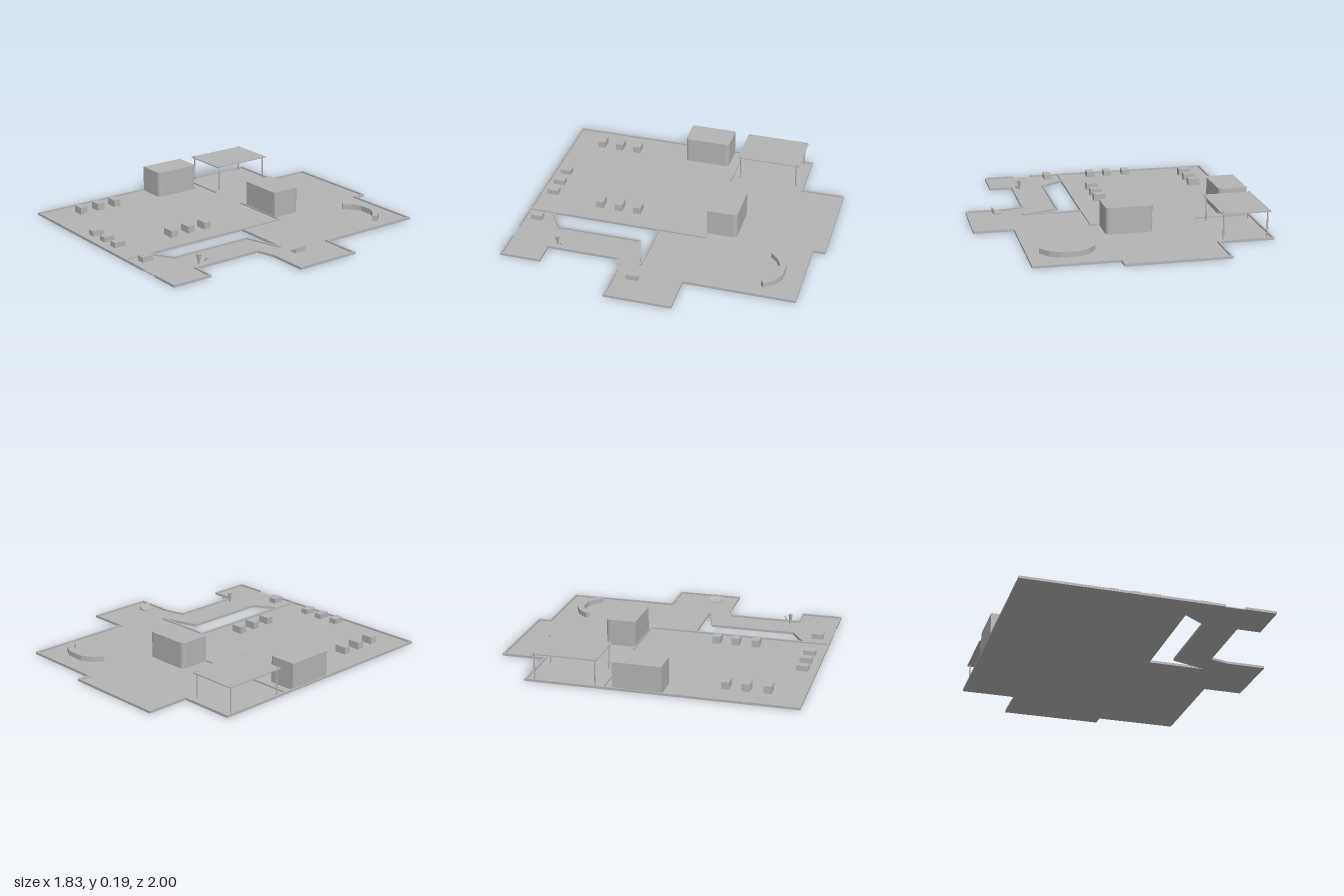
import * as THREE from 'three';

export function createModel() {
  const model = new THREE.Group();
  const grey = new THREE.MeshStandardMaterial({ color: 0xb4b4b4 });
  grey.name = 'plain grey';
  const FLOOR = 0.006, RIM = 0.016, WALL = 0.012;

  function add(geometry, name, parent = model) {
    const mesh = new THREE.Mesh(geometry, grey);
    mesh.name = name;
    parent.add(mesh);
    return mesh;
  }
  function group(name) {
    const g = new THREE.Group();
    g.name = name;
    model.add(g);
    return g;
  }
  // Box given by its limits on each axis
  function box(x0, x1, y0, y1, z0, z1, name, parent) {
    const m = add(new THREE.BoxGeometry(x1 - x0, y1 - y0, z1 - z0), name, parent);
    m.position.set((x0 + x1) / 2, (y0 + y1) / 2, (z0 + z1) / 2);
    return m;
  }
  const toShape = (points) => new THREE.Shape(points.map(([x, z]) => new THREE.Vector2(x, z)));
  // Plan outline (x, z) raised between two heights
  function slab(shape, y0, y1, name) {
    const g = new THREE.ExtrudeGeometry(shape, { depth: y1 - y0, bevelEnabled: false, curveSegments: 5 });
    g.rotateX(Math.PI / 2);
    g.translate(0, y1, 0);
    return add(g, name);
  }
  // Low rim wall from one plan point to the next
  function wall([ax, az], [bx, bz], parent) {
    const m = add(new THREE.BoxGeometry(Math.hypot(bx - ax, bz - az) + WALL, RIM, WALL), 'lowWall', parent);
    m.position.set((ax + bx) / 2, RIM / 2, (az + bz) / 2);
    m.rotation.y = -Math.atan2(bz - az, bx - ax);
  }

  // Floor with its courtyard opening
  const outline = [
    [0.49, 0.994], [0.679, 0.994], [0.679, 0.735], [0.526, 0.735], [0.526, 0.26], [0.648, 0.227],
    [0.908, 0.227], [0.908, -0.198], [0.648, -0.198], [0.648, -0.914], [0.108, -0.914],
    [0.108, -0.994], [-0.551, -0.994], [-0.551, -0.708], [-0.909, -0.708], [-0.909, 0.994], [0.35, 0.994],
  ];
  const opening = [[0.155, 0.098], [0.545, 0.098], [0.545, 0.108], [0.309, 0.18], [0.309, 0.736], [0.155, 0.832]];
  const floorShape = toShape(outline);
  floorShape.holes.push(toShape(opening));
  slab(floorShape, 0, FLOOR, 'floor');

  // Walls around the edge (with a doorway at the front), the opening and the rooms
  const walls = group('walls');
  for (let i = 0; i < outline.length - 1; i++) wall(outline[i], outline[i + 1], walls);
  opening.forEach((p, i) => wall(p, opening[(i + 1) % opening.length], walls));
  wall([-0.909, -0.212], [-0.555, -0.212], walls);
  wall([-0.257, -0.212], [0.155, -0.212], walls);
  wall([0.155, -0.212], [0.155, 0.994], walls);

  // Two tall blocks, each with one pair of rounded corners
  const r = 0.03;
  const sideBlock = new THREE.Shape();
  sideBlock.moveTo(-0.908, -0.152);
  sideBlock.lineTo(-0.715 - r, -0.152);
  sideBlock.quadraticCurveTo(-0.715, -0.152, -0.715, -0.152 + r);
  sideBlock.lineTo(-0.715, 0.158 - r);
  sideBlock.quadraticCurveTo(-0.715, 0.158, -0.715 - r, 0.158);
  sideBlock.lineTo(-0.908, 0.158);
  slab(sideBlock, FLOOR, 0.18, 'sideBlock');

  const middleBlock = new THREE.Shape();
  middleBlock.moveTo(-0.206, -0.212);
  middleBlock.lineTo(-0.206, -0.413 + r);
  middleBlock.quadraticCurveTo(-0.206, -0.413, -0.206 + r, -0.413);
  middleBlock.lineTo(0.1 - r, -0.413);
  middleBlock.quadraticCurveTo(0.1, -0.413, 0.1, -0.413 + r);
  middleBlock.lineTo(0.1, -0.212);
  slab(middleBlock, FLOOR, 0.18, 'middleBlock');

  // Canopy on four posts
  const canopy = group('canopy');
  box(-0.9, -0.583, 0.172, 0.179, -0.678, -0.25, 'canopyRoof', canopy);
  for (const x of [-0.884, -0.598]) for (const z of [-0.656, -0.267]) {
    const post = add(new THREE.CylinderGeometry(0.005, 0.005, 0.181, 10), 'canopyPost', canopy);
    post.position.set(x, 0.0965, z);
  }

  // Rows of small blocks
  const seats = group('seats');
  for (const [x, rows] of [[-0.73, [0.515, 0.643, 0.775]], [-0.005, [0.288, 0.415, 0.547]]])
    for (const z of rows) box(x - 0.04, x + 0.04, 0.02, 0.067, z - 0.025, z + 0.025, 'sideSeat', seats);
  for (const x of [-0.325, -0.19, -0.065, 0.247])
    box(x - 0.027, x + 0.027, 0.014, 0.049, 0.87, 0.946, 'frontSeat', seats);

  // Curved bench
  const half = [[0.06, -0.797], [0.125, -0.76], [0.174, -0.698], [0.147, -0.677], [0.103, -0.723], [0.047, -0.755]];
  const bench = [...half.map(([x, z]) => [0.4 + x, z]), ...half.map(([x, z]) => [0.4 - x, z]).reverse()];
  slab(toShape(bench), 0.012, 0.047, 'curvedBench');

  // Reclined lounger
  const profile = toShape([[0.697, 0.034], [0.75, 0.034], [0.75, 0.064], [0.743, 0.06], [0.733, 0.047], [0.697, 0.039]]);
  const lounger = add(new THREE.ExtrudeGeometry(profile, { depth: 0.08, bevelEnabled: false }), 'lounger');
  lounger.position.z = 0.06;

  // Tapered stand with a small tilted peg beside it
  const stand = add(new THREE.CylinderGeometry(0.015, 0.004, 0.066, 12), 'taperedStand');
  stand.position.set(0.484, 0.042, 0.68);
  const peg = add(new THREE.CylinderGeometry(0.007, 0.005, 0.026, 10), 'tiltedPeg');
  peg.position.set(0.509, 0.04, 0.645);
  peg.quaternion.setFromUnitVectors(new THREE.Vector3(0, 1, 0), new THREE.Vector3(0.5, 0.75, -0.45).normalize());

  return model;
}
